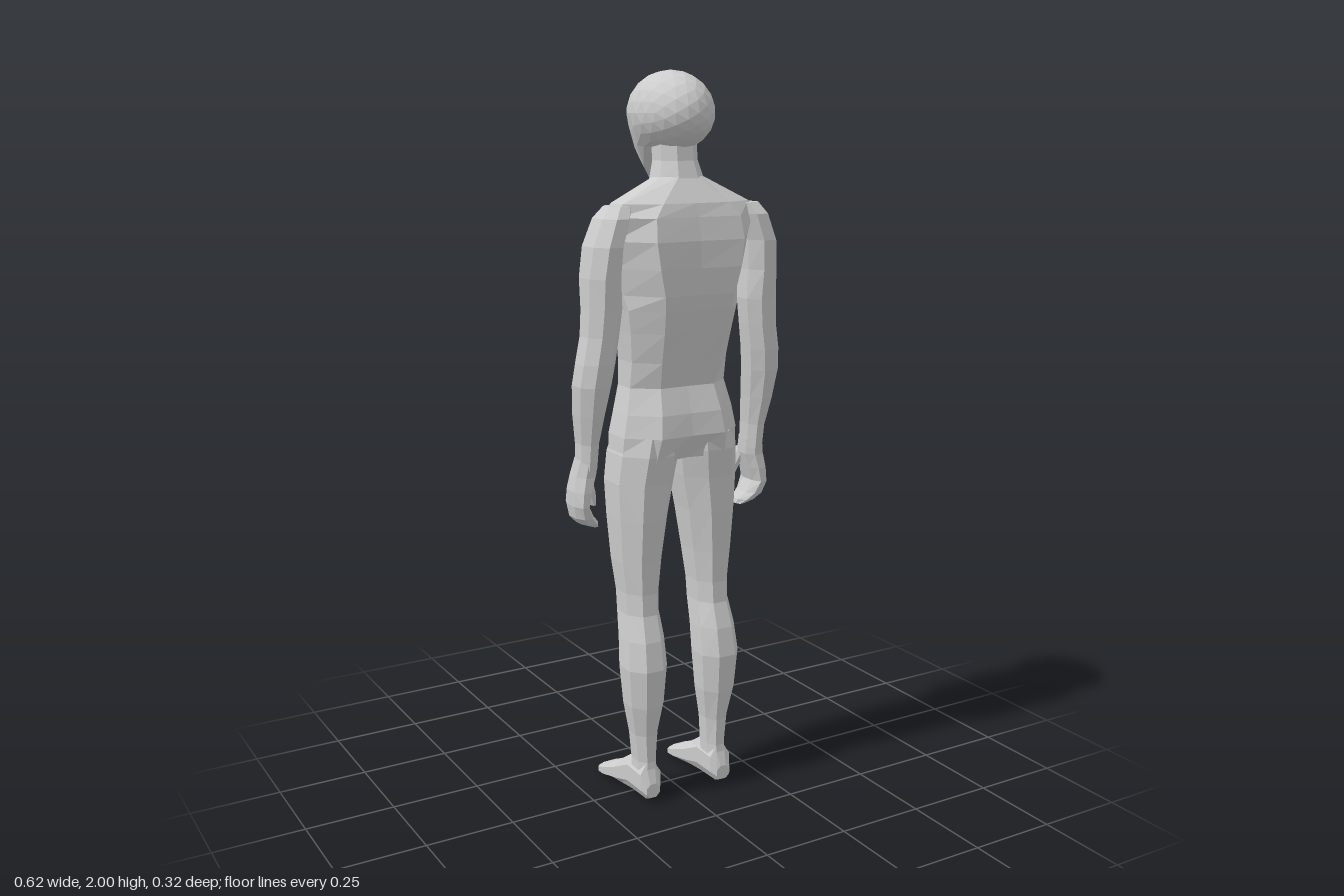
import * as THREE from 'three';

// Ten-sided cross-section: an oblong with cut corners and a movable mid-line.
// u0..u1 is the width, v0..v1 the depth, cu/cv the corner cuts, dent pulls the centre in.
function section(u0, u1, v0, v1, cu = 0.28, cv = 0.28, dent = 0) {
  const a = (u1 - u0) * cu, b = (v1 - v0) * cv, m = (u0 + u1) / 2;
  return [
    [m, v0 + dent], [u1 - a, v0], [u1, v0 + b], [u1, v1 - b], [u1 - a, v1],
    [m, v1 - dent], [u0 + a, v1], [u0, v1 - b], [u0, v0 + b], [u0 + a, v0],
  ];
}

// Skin a stack of equal-length rings, cap both ends and facet the result.
function loft(rings) {
  const n = rings[0].length, pos = rings.flat(2), idx = [];
  for (let r = 0; r < rings.length - 1; r++) {
    for (let i = 0; i < n; i++) {
      const a = r * n + i, b = r * n + (i + 1) % n;
      idx.push(a, b, a + n, b, b + n, a + n);
    }
  }
  const top = (rings.length - 1) * n;
  for (let i = 1; i < n - 1; i++) idx.push(0, i + 1, i, top, top + i, top + i + 1);
  // Turn all faces outwards by checking the signed volume
  const p = (i) => new THREE.Vector3().fromArray(pos, i * 3);
  let vol = 0;
  for (let i = 0; i < idx.length; i += 3) vol += p(idx[i]).dot(p(idx[i + 1]).cross(p(idx[i + 2])));
  if (vol < 0) idx.reverse();
  const g = new THREE.BufferGeometry();
  g.setAttribute('position', new THREE.Float32BufferAttribute(pos, 3));
  g.setIndex(idx);
  return facet(g);
}

function facet(g) {
  const f = g.index ? g.toNonIndexed() : g;
  f.computeVertexNormals();
  return f;
}

// Rows of [y, x0, x1, z0, z1, ...cuts]; s = -1 mirrors to the right side
const upright = (rows, s = 1) => loft(rows.map(([y, ...r]) =>
  section(...r).map(([x, z]) => [s * x, y, z])));
// Rows of [z, x0, x1, y0, y1, ...cuts]
const lengthwise = (rows, s = 1) => loft(rows.map(([z, ...r]) =>
  section(...r).map(([x, y]) => [s * x, y, z])));

export function createModel() {
  const model = new THREE.Group();
  const grey = new THREE.MeshStandardMaterial({ color: 0xcccccc });
  grey.name = 'light grey';
  const add = (name, geometry) => {
    const mesh = new THREE.Mesh(geometry, grey);
    mesh.name = name;
    model.add(mesh);
  };

  // Head: faceted ball with a dropped, narrowed jaw and a ridged face
  const head = new THREE.IcosahedronGeometry(1, 3);
  const hp = head.attributes.position;
  for (let i = 0; i < hp.count; i++) {
    const dx = hp.getX(i), dy = hp.getY(i), z = hp.getZ(i) * 0.145;
    const front = THREE.MathUtils.smoothstep(-z, 0, 0.08);
    const low = Math.max(0, -dy);
    const x = dx * 0.105 * (1 - 0.4 * front * low);
    const y = 1.89 + dy * (dy > 0 ? 0.11 : 0.1 * (1 + 1.1 * front));
    hp.setXYZ(i, x, y, Math.max(z, -0.143 + Math.abs(x) * 0.35));
  }
  add('head', facet(head));

  // Neck flaring into the shoulders
  add('neck', upright([
    [1.66, -0.1, 0.1, -0.04, 0.12],
    [1.72, -0.068, 0.068, -0.03, 0.095],
    [1.77, -0.055, 0.055, -0.03, 0.078],
    [1.84, -0.055, 0.055, -0.04, 0.07],
  ]));

  // Torso rows: [y, half width, front z, back z, side cut, depth cut, dent]
  const torso = [
    [0.985, 0.178, -0.09, 0.11, 0.2, 0.3, 0.02],
    [1.05, 0.175, -0.1, 0.125, 0.22, 0.3, 0.006],
    [1.11, 0.163, -0.09, 0.115, 0.22, 0.3, 0.004],
    [1.18, 0.147, -0.08, 0.09, 0.22, 0.3, 0.003],
    [1.25, 0.147, -0.085, 0.108, 0.2, 0.3, 0.004],
    [1.33, 0.157, -0.085, 0.132, 0.2, 0.32, 0.006],
    [1.39, 0.167, -0.085, 0.148, 0.2, 0.33, 0.006],
    [1.43, 0.176, -0.122, 0.157, 0.2, 0.36, 0.006],
    [1.5, 0.19, -0.128, 0.162, 0.18, 0.37, 0.006],
    [1.57, 0.205, -0.105, 0.16, 0.18, 0.37, 0.005],
    [1.63, 0.21, -0.06, 0.148, 0.2, 0.33, 0.004],
    [1.665, 0.19, -0.03, 0.135, 0.24, 0.3, 0],
    [1.73, 0.062, -0.01, 0.09, 0.28, 0.28, 0],
  ];
  add('torso', upright(torso.map(([y, w, ...rest]) => [y, -w, w, ...rest])));

  for (const [side, s] of [['left', 1], ['right', -1]]) {
    // Leg from ankle to hip
    add(side + 'Leg', upright([
      [0.05, 0.085, 0.145, 0.01, 0.095],
      [0.12, 0.085, 0.142, 0, 0.088],
      [0.2, 0.08, 0.15, 0, 0.09],
      [0.29, 0.066, 0.167, -0.008, 0.108],
      [0.4, 0.058, 0.176, -0.018, 0.118],
      [0.48, 0.06, 0.17, -0.032, 0.105],
      [0.55, 0.064, 0.162, -0.055, 0.083],
      [0.61, 0.062, 0.163, -0.06, 0.08],
      [0.7, 0.052, 0.173, -0.075, 0.085],
      [0.82, 0.035, 0.181, -0.09, 0.095],
      [0.92, 0.016, 0.185, -0.098, 0.1],
      [1.0, 0.004, 0.179, -0.096, 0.112],
      [1.05, 0.004, 0.165, -0.085, 0.11],
    ], s));

    // Foot from heel to toe
    add(side + 'Foot', lengthwise([
      [0.103, 0.095, 0.137, 0.02, 0.06],
      [0.085, 0.083, 0.147, 0.012, 0.115],
      [0.01, 0.082, 0.148, 0.01, 0.12],
      [-0.05, 0.076, 0.157, 0.006, 0.08],
      [-0.11, 0.072, 0.164, 0.002, 0.048],
      [-0.145, 0.076, 0.16, 0, 0.032],
      [-0.163, 0.09, 0.148, 0.004, 0.022],
    ], s));

    // Arm from wrist to shoulder
    add(side + 'Arm', upright([
      [0.97, 0.238, 0.286, -0.04, 0.045],
      [1.04, 0.236, 0.288, -0.035, 0.055],
      [1.12, 0.228, 0.3, -0.03, 0.08],
      [1.2, 0.218, 0.308, -0.015, 0.1],
      [1.26, 0.21, 0.302, -0.005, 0.108],
      [1.33, 0.2, 0.29, 0, 0.11],
      [1.4, 0.192, 0.287, 0, 0.115],
      [1.48, 0.195, 0.286, -0.015, 0.122],
      [1.56, 0.19, 0.276, -0.018, 0.13],
      [1.63, 0.17, 0.25, -0.005, 0.125],
      [1.66, 0.16, 0.225, 0.02, 0.105],
    ], s));

    // Hand: palm with fingers curling inwards
    add(side + 'Hand', upright([
      [0.802, 0.222, 0.246, -0.045, 0.005],
      [0.815, 0.226, 0.278, -0.055, 0.02],
      [0.835, 0.244, 0.297, -0.058, 0.033],
      [0.87, 0.262, 0.304, -0.062, 0.043],
      [0.91, 0.25, 0.304, -0.06, 0.043],
      [0.95, 0.238, 0.297, -0.053, 0.04],
      [0.995, 0.236, 0.288, -0.04, 0.045],
    ], s));
    add(side + 'Thumb', upright([
      [0.85, 0.21, 0.225, -0.062, -0.035],
      [0.885, 0.212, 0.24, -0.066, -0.03],
      [0.92, 0.224, 0.256, -0.064, -0.022],
      [0.96, 0.238, 0.27, -0.052, -0.01],
    ], s));
  }
  return model;
}
